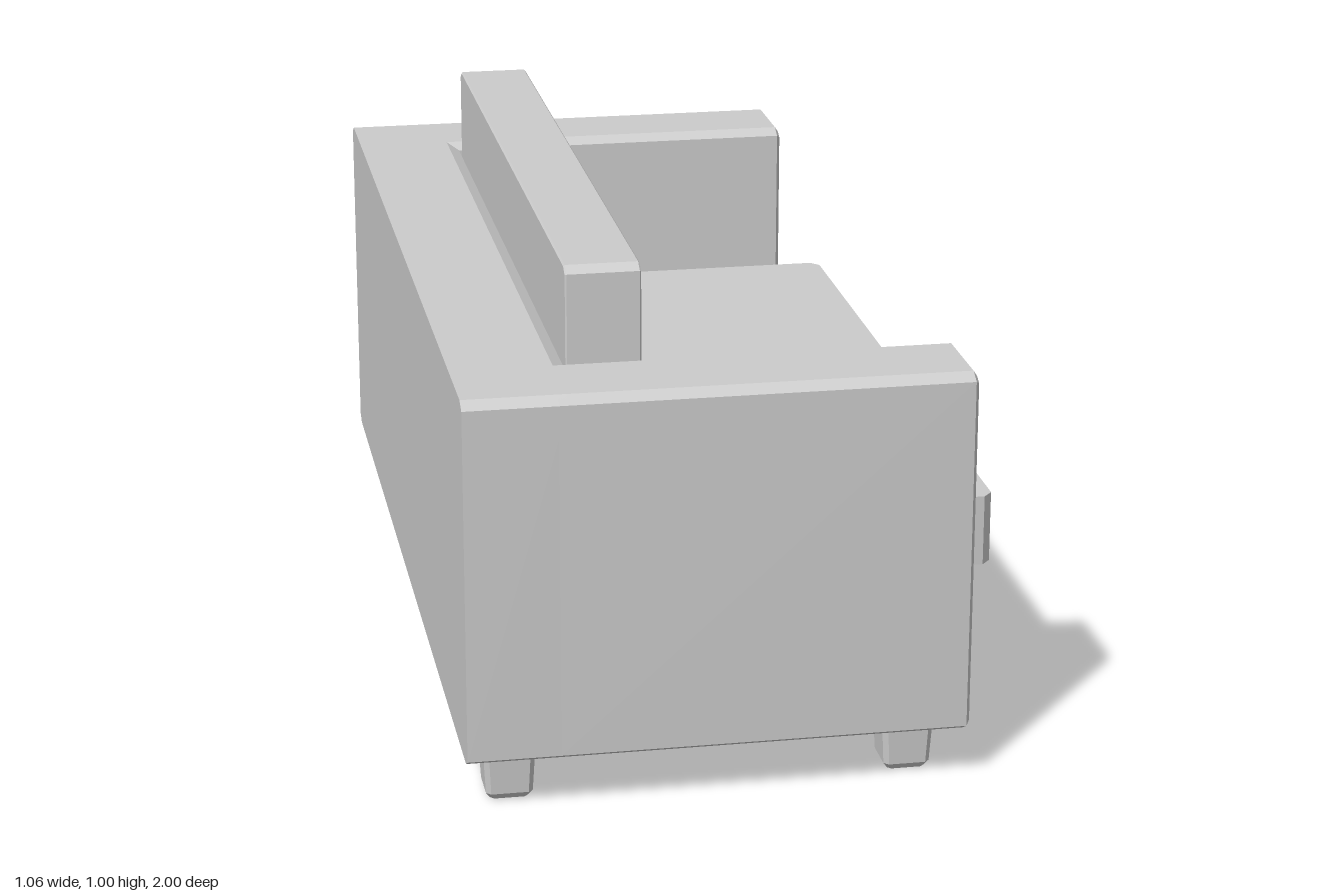
import * as THREE from 'three';

const material = new THREE.MeshStandardMaterial({ color: 0xcccccc, flatShading: true });

function outline(points) {
  return new THREE.Shape(points.map(([x, y]) => new THREE.Vector2(x, y)));
}

// Rectangle with cut corners: cx, cy are the cuts at the top, the bottom cut is optional
function cutRect(x0, x1, y0, y1, cx, cy, cutBottom = true) {
  const top = [[x1, y1 - cy], [x1 - cx, y1], [x0 + cx, y1], [x0, y1 - cy]];
  const bottom = cutBottom
    ? [[x0, y0 + cy], [x0 + cx, y0], [x1 - cx, y0], [x1, y0 + cy]]
    : [[x0, y0], [x1, y0]];
  return outline([...bottom, ...top]);
}

// Extrude a front-facing outline (-z, y) along x; bevel softens the ends
function alongX(shape, x0, x1, bevel = 0, inset = bevel) {
  const geometry = new THREE.ExtrudeGeometry(shape, {
    depth: x1 - x0 - 2 * bevel, bevelEnabled: bevel > 0, bevelSegments: 1,
    bevelThickness: bevel, bevelSize: inset, bevelOffset: -inset,
  });
  return geometry.rotateY(Math.PI / 2).translate(x0 + bevel, 0, 0);
}

// Extrude a plan outline (x, -z) upwards
function upwards(shape, y0, y1, steps = 1) {
  return new THREE.ExtrudeGeometry(shape, { depth: y1 - y0, steps, bevelEnabled: false })
    .rotateX(-Math.PI / 2).translate(0, y0, 0);
}

export function createModel() {
  const sofa = new THREE.Group();
  sofa.name = 'sofa';
  const add = (name, geometry) => {
    geometry.computeVertexNormals();
    const mesh = new THREE.Mesh(geometry, material);
    mesh.name = name;
    sofa.add(mesh);
    return mesh;
  };

  const bottom = 0.1, top = 0.82, deck = 0.355, inner = 0.785;
  const cx = 0.025, cy = 0.014;

  // Arms and seat base as one U-shaped section
  add('armsAndBase', alongX(outline([
    [-1, bottom + cy], [-1 + cx, bottom], [1 - cx, bottom], [1, bottom + cy],
    [1, top - cy], [1 - cx, top], [inner + cx, top], [inner, top - cy],
    [inner, deck], [-inner, deck],
    [-inner, top - cy], [-inner - cx, top], [-1 + cx, top], [-1, top - cy],
  ]), -0.36, 0.435, 0.008, 0.012));

  // Back wall with a sloped strip along its inner top edge
  add('backWall', alongX(cutRect(-1, 1, bottom, top, cx, cy), -0.53, -0.335));
  const lip = outline([[-0.335, deck], [-0.31, deck], [-0.31, top - cy], [-0.335, top]]);
  const lipLength = 2 * (inner + cx);
  add('backWallLip', new THREE.ExtrudeGeometry(lip, { depth: lipLength, bevelEnabled: false })
    .translate(0, 0, -lipLength / 2));

  // Tall back cushion, slightly off centre
  add('backCushion', alongX(
    cutRect(-0.785, 0.757, deck, 1, 0.02, 0.013, false), -0.307, -0.163, 0.003));

  // Two seat cushions with cut vertical corners
  for (const side of [-1, 1]) {
    const z = side * inner / 2;
    add(side > 0 ? 'rightSeatCushion' : 'leftSeatCushion', upwards(
      cutRect(-0.12, 0.527, -inner / 2, inner / 2, 0.018, 0.02), deck, 0.496)
      .translate(0, 0, z));
  }

  // Tapered feet with cut corners and a chamfered sole
  for (const x of [-0.442, 0.33]) {
    for (const z of [-0.887, 0.887]) {
      const geometry = upwards(cutRect(-0.05, 0.05, -0.05, 0.05, 0.01, 0.01), 0, 0.102, 8);
      const p = geometry.attributes.position;
      for (let i = 0; i < p.count; i++) {
        const y = p.getY(i);
        const k = y < 0.005 ? 0.72 : 0.88 + 0.12 * (y / 0.102);
        p.setXYZ(i, p.getX(i) * k, y, p.getZ(i) * k);
      }
      add('foot', geometry).position.set(x, 0, z);
    }
  }

  return sofa;
}
